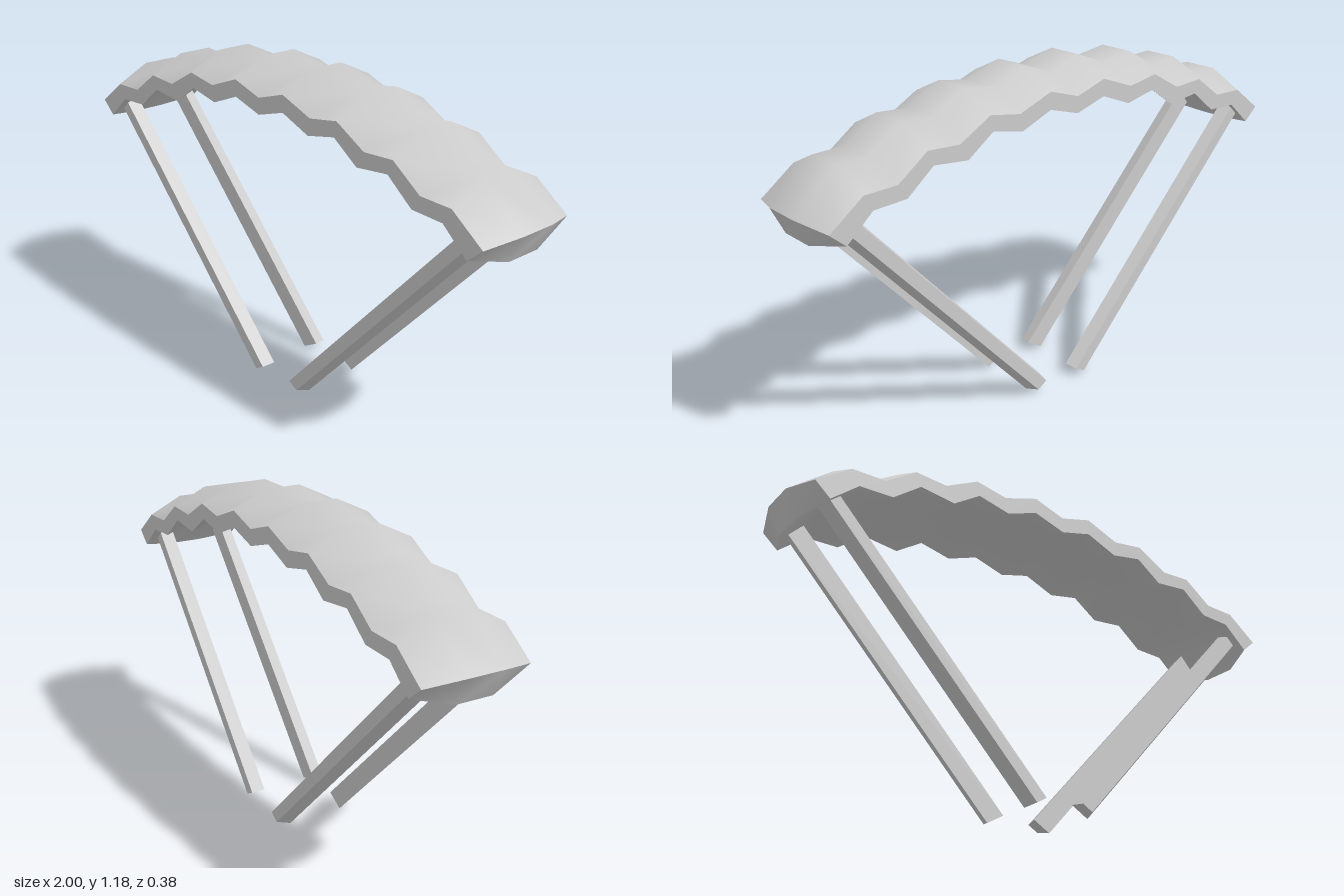
import * as THREE from 'three';
import { toCreasedNormals } from 'three/addons/utils/BufferGeometryUtils.js';

const material = new THREE.MeshStandardMaterial({ color: 0xcccccc, side: THREE.DoubleSide });

// Skin a list of equal-length rings (running along +x, each clockwise seen from +x) and close both ends.
function loft(rings, crease) {
  const n = rings[0].length, index = [];
  const quad = (a, b, c, d) => index.push(a, b, c, a, c, d);
  for (let i = 0; i < rings.length - 1; i++)
    for (let j = 0; j < n; j++) {
      const k = (j + 1) % n, a = i * n, b = a + n;
      quad(a + j, b + j, b + k, a + k);
    }
  const e = (rings.length - 1) * n;
  for (let k = 0; k < n / 2 - 1; k++) {
    quad(k, k + 1, n - 2 - k, n - 1 - k);
    quad(e + n - 1 - k, e + n - 2 - k, e + k + 1, e + k);
  }
  const g = new THREE.BufferGeometry();
  g.setAttribute('position', new THREE.Float32BufferAttribute(rings.flat(2), 3));
  g.setIndex(index);
  return toCreasedNormals(g, crease);
}

// Scalloped arch, tip to middle: [crown top, rim top, crown underside, rim underside], each as x, y
const stations = [
  [[1, 0.886], [0.96, 0.866], [0.955, 0.793], [0.905, 0.818]],
  [[0.845, 1.015], [0.84, 0.955], [0.82, 0.94], [0.81, 0.902]],
  [[0.73, 1.018], [0.72, 0.958], [0.705, 0.948], [0.69, 0.907]],
  [[0.61, 1.098], [0.61, 1.037], [0.595, 1.025], [0.59, 0.987]],
  [[0.49, 1.09], [0.49, 1.03], [0.475, 1.015], [0.46, 0.973]],
  [[0.37, 1.157], [0.37, 1.097], [0.365, 1.085], [0.36, 1.043]],
  [[0.25, 1.137], [0.25, 1.077], [0.245, 1.06], [0.24, 1.018]],
  [[0.12, 1.185], [0.12, 1.125], [0.12, 1.108], [0.12, 1.065]],
  [[0, 1.145], [0, 1.088], [0, 1.072], [0, 1.03]],
];

function canopy() {
  const rim = 0.192, crown = 0.065;
  const ring = ([ct, rt, cb, rb], s) =>
    [[rt, rim], [ct, crown], [ct, -crown], [rt, -rim], [rb, -rim], [cb, -crown], [cb, crown], [rb, rim]]
      .map(([[x, y], z]) => [s * x, y, z]);
  const rings = [
    ...stations.map((p) => ring(p, -1)),
    ...stations.slice(0, -1).reverse().map((p) => ring(p, 1)),
  ];
  const mesh = new THREE.Mesh(loft(rings, 0.95), material);
  mesh.name = 'canopy';
  return mesh;
}

// Slanted strut of trapezoid section: [fraction across the strut, z], with the inner side taller than the outer
const strutSection = [[0.15, 0.152], [0, 0.105], [1, 0.105], [0.74, 0.152]];
function strut(name, side, front, foot, run) {
  const ends = [0, 1.04].map((t) => strutSection.map(([w, z]) => [
    side * (foot[0] + 0.065 * w + run[0] * t), foot[1] - 0.037 * w + run[1] * t, front * z,
  ]));
  // Keep the rings running along +x and clockwise when mirrored
  if (side < 0) ends.reverse();
  if (front < 0) ends.forEach((ring) => ring.reverse());
  const mesh = new THREE.Mesh(loft(ends, 0.2), material);
  mesh.name = name;
  return mesh;
}

export function createModel() {
  const model = new THREE.Group();
  model.name = 'archedCanopyWithStruts';
  model.add(canopy());
  for (const [label, front] of [['front', 1], ['back', -1]]) {
    model.add(strut(label + 'LeftStrut', 1, front, [0.09, 0.052], [0.75, 0.825]));
    model.add(strut(label + 'RightStrut', -1, front, [0.04, 0.043], [0.795, 0.822]));
  }
  return model;
}
